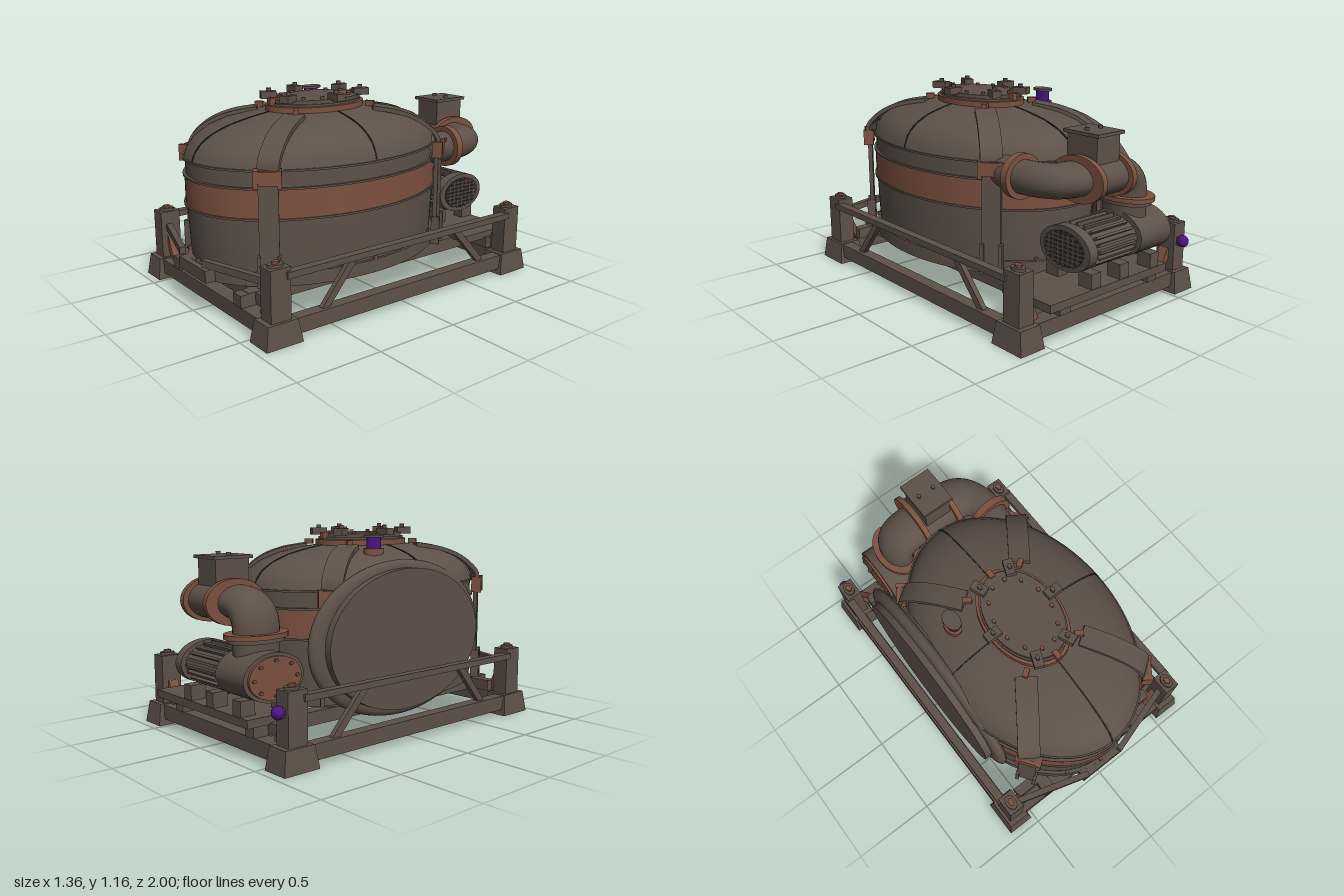
import * as THREE from 'three';
import { toCreasedNormals } from 'three/addons/utils/BufferGeometryUtils.js';

const mat = (name, color) => new THREE.MeshStandardMaterial({ name, color });
const V = (x, y, z) => new THREE.Vector3(x, y, z);

export function createModel() {
  const iron = mat('weathered iron', 0x5d5148);
  const copper = mat('copper', 0x7d5140);
  const dark = mat('dark seam', 0x2e2925);
  const violet = mat('violet lamp', 0x4a1482);
  const root = new THREE.Group();
  root.name = 'tankUnit';

  const RX = 0.56, RZ = 0.8, CZ = 0.165; // oval tank
  const SX = 0.7, SY = 0.68;             // squash shared by all round parts

  const add = (name, geo, m, p = [0, 0, 0], ry = 0) => {
    const mesh = new THREE.Mesh(geo, m);
    mesh.name = name;
    mesh.position.set(...p);
    mesh.rotation.y = ry;
    root.add(mesh);
    return mesh;
  };
  const box = (name, m, w, h, d, p, ry) => add(name, new THREE.BoxGeometry(w, h, d), m, p, ry);
  // box between two points
  const beam = (name, m, a, b, w, h) => {
    const mesh = box(name, m, w, h, a.distanceTo(b), a.clone().lerp(b, 0.5).toArray());
    mesh.lookAt(b);
    return mesh;
  };
  // box with a narrower top, standing on p
  const taper = (name, m, [w, d], [tw, td], h, p) => {
    const g = new THREE.BoxGeometry(w, h, d).translate(0, h / 2, 0);
    const a = g.attributes.position;
    for (let i = 0; i < a.count; i++) if (a.getY(i) > 0) {
      a.setX(i, a.getX(i) * tw / w);
      a.setZ(i, a.getZ(i) * td / d);
    }
    g.computeVertexNormals();
    return add(name, g, m, p);
  };
  // squashed cylinder along an axis
  const cyl = (name, m, axis, r, len, p, seg = 36) => {
    const g = new THREE.CylinderGeometry(r, r, len, seg);
    if (axis === 'x') g.rotateZ(Math.PI / 2).scale(1, SY, 1);
    if (axis === 'y') g.scale(SX, 1, 1);
    if (axis === 'z') g.rotateX(Math.PI / 2).scale(SX, SY, 1);
    return add(name, g, m, p);
  };
  // oval turned shape around the tank centre; profile in [radius, y]
  const turned = (name, m, pts) => add(name, toCreasedNormals(
    new THREE.LatheGeometry(pts.map(q => new THREE.Vector2(...q)), 72).scale(RX, 1, RZ), 0.5), m, [0, 0, CZ]);
  const ring = (name, m, r, y0, y1) => turned(name, m, [[r - 0.06, y0], [r, y0], [r, y1], [r - 0.06, y1]]);
  const onTank = (a, r, y) => V(RX * r * Math.cos(a), y, CZ + RZ * r * Math.sin(a));

  // tank shell and dome
  const dome = [[1, 0.83], [0.98, 0.87], [0.93, 0.92], [0.84, 0.965], [0.7, 1.005], [0.5, 1.037], [0.36, 1.052]];
  turned('tankShell', iron, [[0, 0.195], [0.96, 0.195], [0.975, 0.3], [0.99, 0.55], [0.99, 0.83]]);
  turned('tankDome', iron, [...dome, [0, 1.06]]);
  ring('baseRing', iron, 1.0, 0.2, 0.275);
  ring('copperBand', copper, 1.0, 0.57, 0.73);
  for (const y of [0.565, 0.73, 0.825]) ring('tankRim', iron, 1.012, y - 0.004, y + 0.007);
  box('baseLip', iron, 0.3, 0.07, 0.06, [0, 0.238, 0.965]);
  for (let i = 0; i < 16; i++)
    box('baseBolt', copper, 0.016, 0.02, 0.02, onTank(i * Math.PI / 8, 0.99, 0.285).toArray());

  // strip swept down the dome along a meridian
  const strip = (name, m, a, pts, w, t) => {
    const curve = new THREE.CatmullRomCurve3(pts.map(([r, y]) => onTank(a, r, y)));
    const h = V(RX * Math.cos(a), 0, RZ * Math.sin(a)).normalize();
    const right = V(0, 1, 0).cross(h);
    const g = new THREE.BoxGeometry(w, t, 1, 1, 1, 20);
    const q = g.attributes.position;
    for (let i = 0; i < q.count; i++) {
      const u = THREE.MathUtils.clamp(q.getZ(i) + 0.5, 0, 1);
      const n = curve.getTangentAt(u).cross(right).normalize();
      const p = curve.getPointAt(u).addScaledVector(right, q.getX(i)).addScaledVector(n, q.getY(i));
      q.setXYZ(i, p.x, p.y, p.z);
    }
    return add(name, toCreasedNormals(g, 0.5), m);
  };
  const strapPath = [[0.48, 1.045], [0.7, 1.018], [0.86, 0.975], [0.97, 0.92], [1.03, 0.87], [1.04, 0.82]];
  for (let i = 0; i < 4; i++) {
    strip('domeSeam', dark, i * Math.PI / 2, dome, 0.008, 0.006);
    const a = Math.PI / 4 + i * Math.PI / 2;
    strip('domeStrap', iron, a, strapPath, 0.12, 0.025);
    // upright straps with copper clips and foot brackets, square to the wall
    const ry = Math.atan2(Math.cos(a) / RX, Math.sin(a) / RZ);
    const at = (r, y) => onTank(a, r, y).toArray();
    box('uprightStrap', iron, 0.105, 0.62, 0.025, at(1.05, 0.53), ry);
    box('strapClip', copper, 0.125, 0.075, 0.05, at(1.06, 0.8), ry);
    for (const s of [-1, 1]) {
      const ear = box('clipEar', copper, 0.025, 0.095, 0.06, at(1.06, 0.795), ry);
      ear.translateX(s * 0.06);
      const side = box('footBracket', iron, 0.02, 0.17, 0.05, at(1.06, 0.3), ry);
      side.translateX(s * 0.052);
    }
    const lug = onTank(a, 0.46, 1.065);
    box('strapLug', copper, 0.03, 0.03, 0.05, lug.toArray(), ry);
  }

  // top hatch with clamps
  turned('hatchCollar', copper, [[0.37, 1.035], [0.39, 1.04], [0.39, 1.08], [0.34, 1.085]]);
  turned('hatchLid', iron, [[0.365, 1.08], [0.365, 1.095], [0.35, 1.095], [0.35, 1.115], [0, 1.118]]);
  for (let i = 0; i < 6; i++) {
    const a = i * Math.PI / 3;
    const ry = Math.atan2(RX * Math.cos(a), RZ * Math.sin(a));
    box('hatchClamp', iron, 0.055, 0.04, 0.09, onTank(a, 0.365, 1.127).toArray(), ry);
    cyl('clampNut', iron, 'y', 0.017, 0.02, onTank(a, 0.36, 1.155).toArray(), 6);
  }
  for (let i = 0; i < 12; i++)
    cyl('lidBolt', copper, 'y', 0.014, 0.012, onTank((i + 0.5) * Math.PI / 6, 0.28, 1.122).toArray(), 8);
  for (const s of [-1, 1]) box('hatchLug', copper, 0.03, 0.04, 0.05, [0, 1.105, CZ + s * 0.29]);

  // dome beacon
  cyl('beaconBase', copper, 'y', 0.065, 0.06, [-0.325, 1.01, -0.04]);
  cyl('beaconLamp', violet, 'y', 0.047, 0.08, [-0.325, 1.065, -0.04]);
  cyl('beaconCap', iron, 'y', 0.065, 0.014, [-0.325, 1.108, -0.04]);

  // large round side cover
  add('coverRing', new THREE.TorusGeometry(0.59, 0.07, 16, 64).rotateY(Math.PI / 2).scale(0.48, 0.66, 1), iron, [-0.5, 0.55, 0]);
  cyl('coverPlate', iron, 'x', 0.575, 0.05, [-0.548, 0.55, 0], 64);
  cyl('coverBack', iron, 'x', 0.59, 0.06, [-0.485, 0.55, 0], 64);

  // frame: corner posts, rails and braces
  for (const sx of [-1, 1]) {
    for (const sz of [-1, 1]) {
      const x = sx * 0.6, z = sz * 0.845;
      taper('postFoot', iron, [0.16, 0.22], [0.13, 0.18], 0.125, [x, 0, z]);
      taper('post', iron, [0.135, 0.15], [0.095, 0.12], 0.29, [x, 0.115, z]);
      cyl('postNeck', iron, 'y', 0.045, 0.02, [x, 0.41, z], 16);
      cyl('postBolt', copper, 'y', 0.025, 0.022, [x, 0.422, z], 6);
      beam('sideBrace', iron, V(sx * 0.62, 0.11, sz > 0 ? 0.57 : -0.4 + 0.01), V(sx * 0.62, 0.35, sz > 0 ? 0.37 : -0.2 - 0.4 + 0.4), 0.03, 0.04).visible = sz > 0;
      beam('copperBracket', copper, V(sx * 0.5, 0.12, sz * 0.84), V(sx * 0.56, 0.25, sz * 0.84), 0.06, 0.035);
      box('skidBlock', iron, 0.075, 0.07, 0.1, [sx * 0.345, 0.155, sz * 0.87]);
    }
    beam('rearSideBrace', iron, V(sx * 0.62, 0.11, -0.6), V(sx * 0.62, 0.35, -0.38), 0.03, 0.04);
    box('lowerSideRail', iron, 0.07, 0.085, 1.6, [sx * 0.62, 0.078, 0]);
    box('upperSideRail', iron, 0.05, 0.035, 1.62, [sx * 0.635, 0.362, 0]);
    box('tankSkid', iron, 0.075, 0.075, 1.74, [sx * 0.345, 0.155, 0]);
    beam('frontGuard', iron, V(sx * 0.57, 0.31, 0.85), V(sx * 0.12, 0.31, 0.985), 0.035, 0.04);
    box('crossRail', iron, 1.1, 0.085, 0.09, [0, 0.078, sx * 0.87]);
    box('tankCrossBeam', iron, 1.04, 0.065, 0.06, [0, 0.158, sx * 0.8]);
  }
  add('postLamp', new THREE.SphereGeometry(0.035, 16, 12), violet, [-0.6, 0.3, -0.93]);
  box('lampMount', iron, 0.05, 0.05, 0.04, [-0.6, 0.3, -0.9]);

  // rear pump and motor on a platform
  box('pumpPlatform', iron, 0.9, 0.045, 0.36, [0.05, 0.205, -0.79]);
  for (const x of [-0.3, -0.05, 0.17])
    for (const s of [-1, 1]) box('pumpFoot', iron, 0.07, 0.1, 0.09, [x, 0.26, -0.8 + s * 0.12]);
  cyl('pumpBody', iron, 'x', 0.19, 0.25, [-0.275, 0.42, -0.8]);
  cyl('pumpCover', copper, 'x', 0.165, 0.02, [-0.405, 0.42, -0.8]);
  for (let i = 0; i < 8; i++) {
    const a = i * Math.PI / 4;
    cyl('coverBolt', iron, 'x', 0.014, 0.02, [-0.415, 0.42 + 0.135 * SY * Math.sin(a), -0.8 + 0.135 * Math.cos(a)], 6);
  }
  cyl('motorBody', iron, 'x', 0.15, 0.4, [0.04, 0.42, -0.81]);
  for (let i = 0; i < 20; i++) {
    const a = i * Math.PI / 10;
    const fin = box('motorFin', iron, 0.28, 0.03, 0.014, [0.02, 0.42 + 0.158 * SY * Math.sin(a), -0.81 + 0.158 * Math.cos(a)]);
    fin.rotation.x = Math.PI / 2 - a;
  }
  cyl('motorEnd', iron, 'x', 0.18, 0.06, [0.22, 0.42, -0.81]);
  cyl('motorGrille', dark, 'x', 0.14, 0.008, [0.252, 0.42, -0.81]);
  for (let i = -3; i <= 3; i++) {
    const half = Math.sqrt(1 - (i / 4) ** 2) * 0.14;
    box('grilleBar', iron, 0.014, 0.01, half * 2, [0.256, 0.42 + i * 0.035 * SY, -0.81]);
    box('grilleBar', iron, 0.014, half * 2 * SY, 0.012, [0.256, 0.42, -0.81 + i * 0.035]);
  }

  // discharge pipe: pump up, across, then into the tank
  const path = new THREE.CurvePath();
  const P = (x, y, z) => V(x / SX, y / SY, z);
  const y = 0.775, zp = -0.79;
  path.add(new THREE.LineCurve3(P(-0.235, 0.5, zp), P(-0.235, 0.64, zp)));
  path.add(new THREE.QuadraticBezierCurve3(P(-0.235, 0.64, zp), P(-0.235, y, zp), P(-0.08, y, zp)));
  path.add(new THREE.LineCurve3(P(-0.08, y, zp), P(0.16, y, zp)));
  path.add(new THREE.QuadraticBezierCurve3(P(0.16, y, zp), P(0.335, y, zp), P(0.335, y, -0.58)));
  path.add(new THREE.LineCurve3(P(0.335, y, -0.58), P(0.335, y, -0.35)));
  const pipe = add('dischargePipe', new THREE.TubeGeometry(path, 90, 0.135, 28), iron);
  pipe.scale.set(SX, SY, 1);
  cyl('pumpFlange', copper, 'y', 0.185, 0.025, [-0.235, 0.62, zp]);
  cyl('pumpFlangeLower', iron, 'y', 0.165, 0.02, [-0.235, 0.595, zp]);
  for (const x of [-0.07, 0.155]) cyl('pipeFlange', copper, 'x', 0.185, 0.032, [x, y, -0.81]);
  cyl('tankFlange', copper, 'z', 0.18, 0.045, [0.335, y, -0.57]);
  cyl('valveSleeve', iron, 'x', 0.155, 0.2, [0.042, y, -0.81]);

  // valve box above the pipe
  box('valveBox', iron, 0.17, 0.15, 0.21, [0.042, 0.93, -0.8]);
  box('valveBoxLid', iron, 0.2, 0.018, 0.245, [0.042, 1.01, -0.8]);
  for (const s of [-1, 1]) cyl('lidStud', iron, 'y', 0.015, 0.02, [0.042 + s * 0.05, 1.025, -0.8], 8);
  return root;
}
